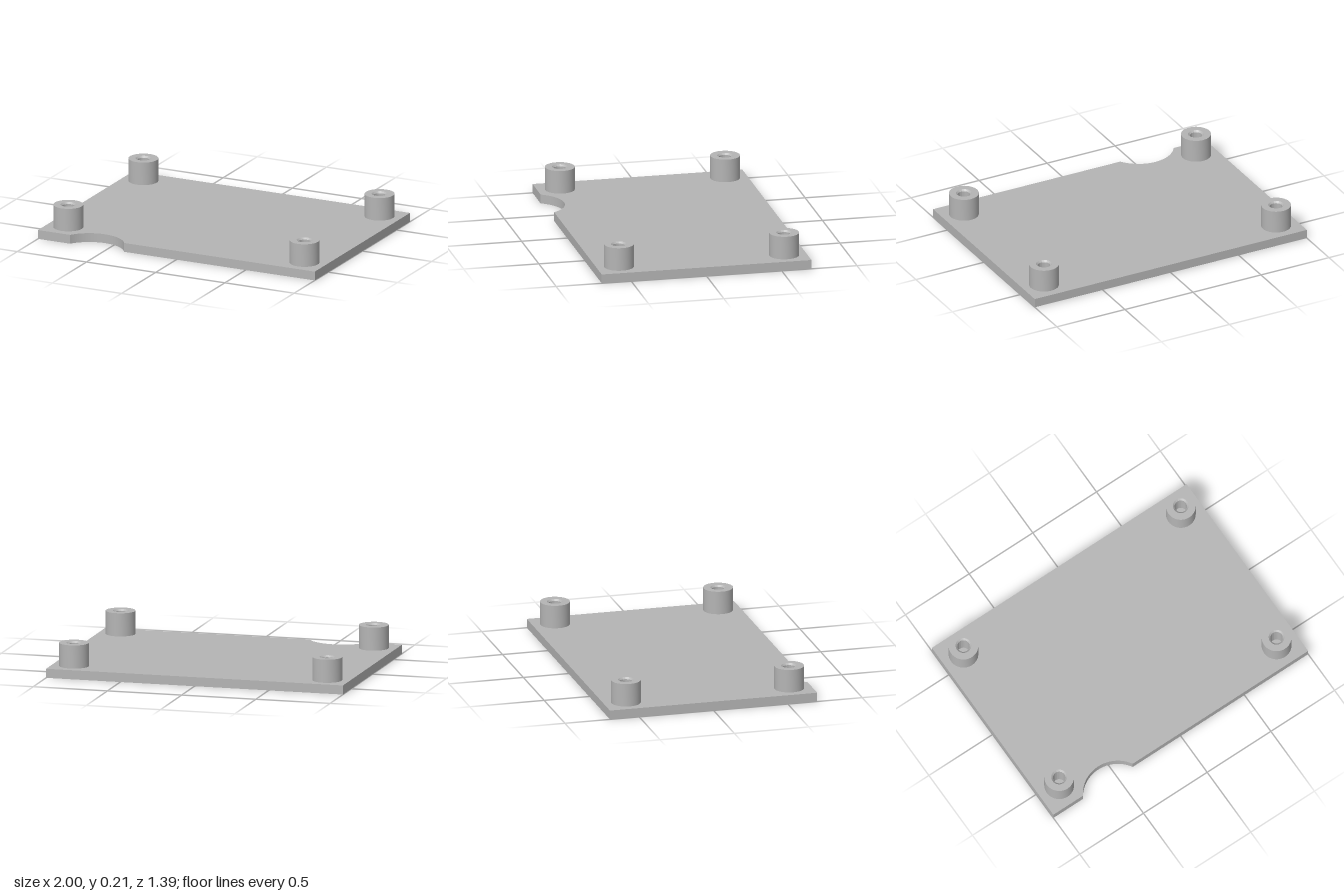
import * as THREE from 'three';
import { toCreasedNormals } from 'three/addons/utils/BufferGeometryUtils.js';

const HALF_X = 1, HALF_Z = 0.697, THICKNESS = 0.06, TOP = 0.213;

export function createModel() {
  const model = new THREE.Group();
  model.name = 'coverPlate';
  const grey = new THREE.MeshStandardMaterial({ color: 0xb4b4b4 });
  grey.name = 'grey';

  // Flat plate with a circular bite out of its front edge
  const notch = { x: -0.572, z: 0.813, r: 0.227 };
  const half = Math.acos((notch.z - HALF_Z) / notch.r);
  const outline = new THREE.Shape();
  outline.moveTo(HALF_X, -HALF_Z);
  outline.lineTo(HALF_X, HALF_Z);
  outline.lineTo(-HALF_X, HALF_Z);
  outline.lineTo(-HALF_X, -HALF_Z);
  outline.absarc(notch.x, -notch.z, notch.r, Math.PI / 2 + half, Math.PI / 2 - half, true);
  outline.closePath();
  const plateGeometry = new THREE.ExtrudeGeometry(outline, {
    depth: THICKNESS, bevelEnabled: false, curveSegments: 32,
  });
  plateGeometry.rotateX(-Math.PI / 2);
  const plate = new THREE.Mesh(toCreasedNormals(plateGeometry, 0.5), grey);
  plate.name = 'plate';
  model.add(plate);

  // Screw boss: outer wall, rim, chamfered blind hole
  const profile = [
    [0.097, THICKNESS], [0.097, TOP], [0.051, TOP],
    [0.04, TOP - 0.011], [0.04, THICKNESS + 0.002], [0, THICKNESS + 0.002],
  ].map(([r, y]) => new THREE.Vector2(r, y));
  const bossGeometry = toCreasedNormals(new THREE.LatheGeometry(profile, 48), 0.5);

  // One boss near each corner
  for (const [side, sx] of [['Left', 1], ['Right', -1]]) {
    for (const [end, sz] of [['front', 1], ['back', -1]]) {
      const boss = new THREE.Mesh(bossGeometry, grey);
      boss.name = `${end}${side}Boss`;
      boss.position.set(sx * 0.853, 0, sz * 0.549);
      model.add(boss);
    }
  }
  return model;
}
